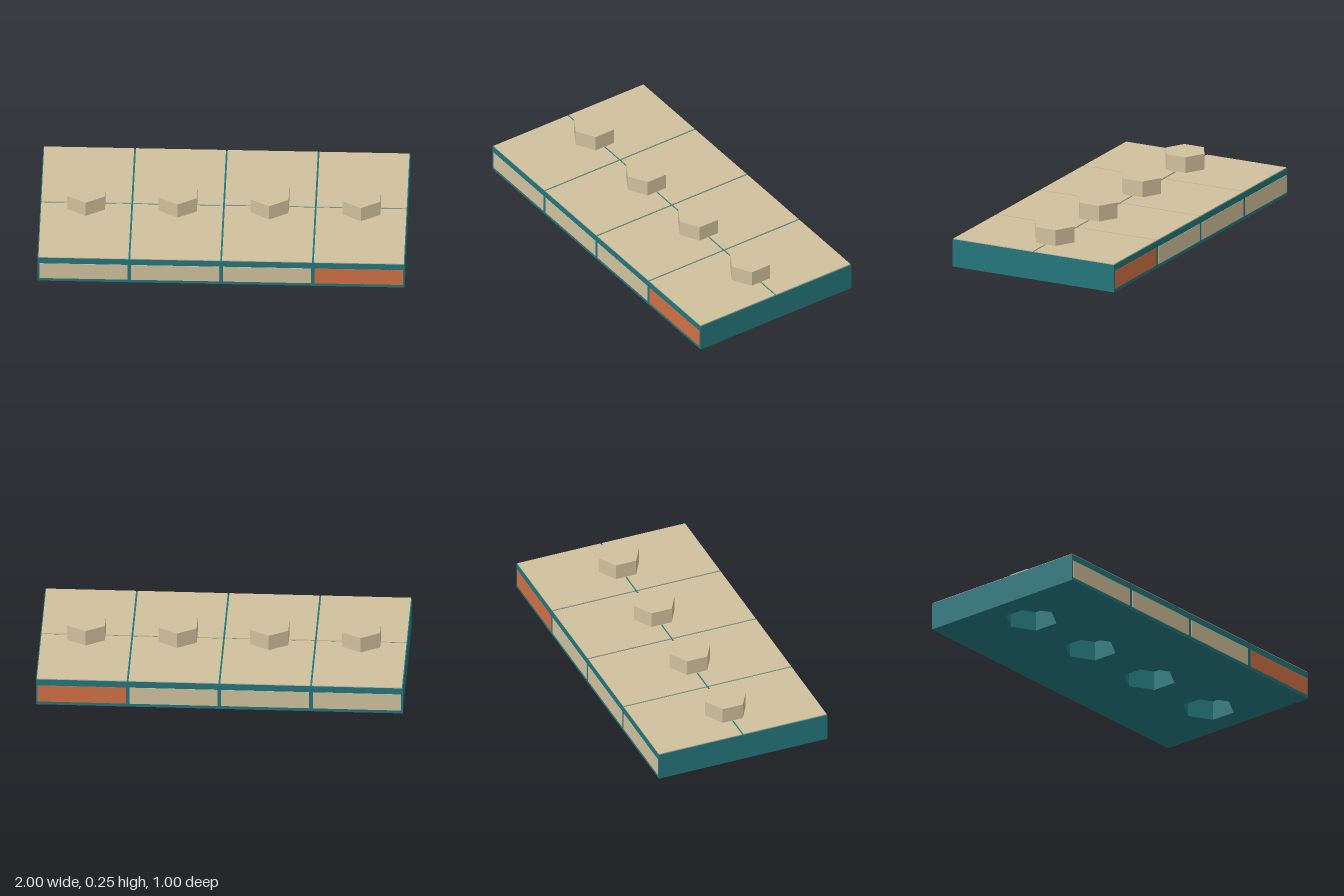
import * as THREE from 'three';

const teal = new THREE.MeshStandardMaterial({ color: 0x23757b, flatShading: true });
const tan = new THREE.MeshStandardMaterial({ color: 0xd0c19d, flatShading: true });
const orange = new THREE.MeshStandardMaterial({ color: 0xd07043, flatShading: true });

const COLUMNS = [-0.75, -0.25, 0.25, 0.75];
const BODY_TOP = 0.155, TILE_TOP = 0.16, STUD_TOP = 0.25;
const SOCKET_RADIUS = 0.145, SOCKET_DEPTH = 0.11;
const HALF_DEPTH = 0.498;

export function createModel() {
  const model = new THREE.Group();
  model.name = 'studdedSlab';

  const add = (name, geometry, material, x, y, z) => {
    const mesh = new THREE.Mesh(geometry, material);
    mesh.name = name;
    mesh.position.set(x, y, z);
    model.add(mesh);
  };
  // Hexagonal prism with its points towards front and back
  const hexPrism = (radius, bottom, top, name, material, x) =>
    add(name, new THREE.CylinderGeometry(radius, radius, top - bottom, 6), material, x, (bottom + top) / 2, 0);

  // Body block with hexagonal sockets
  const outline = new THREE.Shape([
    new THREE.Vector2(-1, -HALF_DEPTH), new THREE.Vector2(1, -HALF_DEPTH),
    new THREE.Vector2(1, HALF_DEPTH), new THREE.Vector2(-1, HALF_DEPTH),
  ]);
  for (const x of COLUMNS) {
    const corners = [];
    for (let i = 0; i < 6; i++) {
      const a = -i * Math.PI / 3;
      corners.push(new THREE.Vector2(x + SOCKET_RADIUS * Math.sin(a), SOCKET_RADIUS * Math.cos(a)));
    }
    outline.holes.push(new THREE.Path(corners));
  }
  const body = new THREE.ExtrudeGeometry(outline, { depth: BODY_TOP, bevelEnabled: false });
  body.rotateX(-Math.PI / 2);
  add('body', body, teal, 0, 0, 0);

  const tile = new THREE.BoxGeometry(0.49, TILE_TOP - BODY_TOP, 0.49);
  const panel = new THREE.BoxGeometry(0.48, 0.1, 0.01);
  COLUMNS.forEach((x, i) => {
    // Socket ceiling and the stud above it
    hexPrism(SOCKET_RADIUS, SOCKET_DEPTH, BODY_TOP, 'socketCeiling', teal, x);
    hexPrism(0.12, BODY_TOP, STUD_TOP, 'stud', tan, x);
    // Top tiles and edge panels, front and back
    for (const side of [1, -1]) {
      const end = side > 0 ? 'front' : 'back';
      add(end + 'Tile', tile, tan, x, (BODY_TOP + TILE_TOP) / 2, side * 0.25);
      add(end + 'Panel', panel, i === 3 ? orange : tan, x, 0.069, side * 0.495);
    }
  });
  return model;
}
